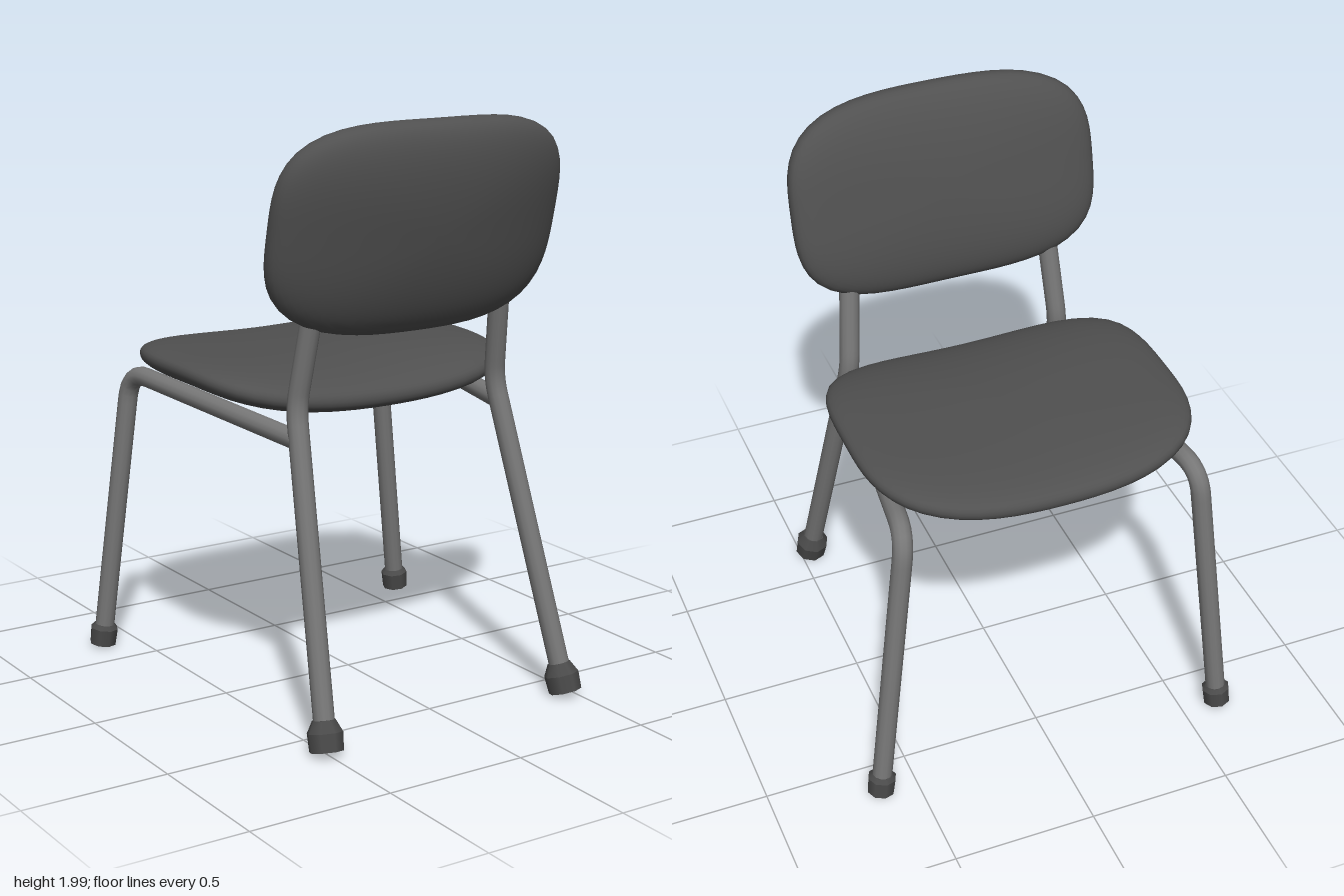
import * as THREE from 'three';
import { mergeVertices } from 'three/addons/utils/BufferGeometryUtils.js';

const padMat = new THREE.MeshStandardMaterial({ color: 0x505050 });
const frameMat = new THREE.MeshStandardMaterial({ color: 0x777777 });
const footMat = new THREE.MeshStandardMaterial({ color: 0x4a4a4a });
const V = (x, y, z) => new THREE.Vector3(x, y, z);

// Blunt-edged pad with a rounded-rectangle outline, one corner power for each end (-z, +z);
// sag(u, v) bends it along its thickness (y)
function pad(name, halfW, halfT, halfL, powers, sag) {
  const geo = new THREE.SphereGeometry(1, 64, 32);
  const p = geo.attributes.position;
  for (let i = 0; i < p.count; i++) {
    const x = p.getX(i), y = p.getY(i), z = p.getZ(i);
    const a = Math.atan2(z, x), n = z > 0 ? powers[1] : powers[0];
    const c = Math.cos(a), s = Math.sin(a);
    const k = Math.hypot(x, z) ** 0.9 / (Math.abs(c) ** n + Math.abs(s) ** n) ** (1 / n);
    const u = c * k, v = s * k;
    const h = Math.sign(y) * Math.abs(y) ** 0.82;
    p.setXYZ(i, u * halfW, h * halfT + sag(u, v), v * halfL);
  }
  geo.deleteAttribute('uv');
  geo.deleteAttribute('normal');
  const welded = mergeVertices(geo, 1e-5);
  welded.computeVertexNormals();
  const mesh = new THREE.Mesh(welded, padMat);
  mesh.name = name;
  return mesh;
}

// Round pipe through three points with a smooth bend of the given length at the middle one
function bentPipe(name, a, b, c, bend, radius) {
  const p = b.clone().add(a.clone().sub(b).setLength(bend));
  const q = b.clone().add(c.clone().sub(b).setLength(bend));
  const path = new THREE.CurvePath();
  path.add(new THREE.LineCurve3(a, p));
  path.add(new THREE.QuadraticBezierCurve3(p, b, q));
  path.add(new THREE.LineCurve3(q, c));
  const mesh = new THREE.Mesh(new THREE.TubeGeometry(path, 64, radius, 12), frameMat);
  mesh.name = name;
  return mesh;
}

// Rubber foot: straight cap with a tapered collar, lined up with the leg
function foot(name, base, toward, r, capH, collarH, legR) {
  const group = new THREE.Group();
  group.name = name;
  const cap = new THREE.Mesh(new THREE.CylinderGeometry(r, r * 0.95, capH, 8), footMat);
  cap.position.y = capH / 2;
  const collar = new THREE.Mesh(new THREE.CylinderGeometry(legR, r, collarH, 8), footMat);
  collar.position.y = capH + collarH / 2;
  group.add(cap, collar);
  group.position.copy(base);
  group.quaternion.setFromUnitVectors(V(0, 1, 0), toward.clone().sub(base).normalize());
  return group;
}

export function createModel() {
  const chair = new THREE.Group();
  chair.name = 'chair';

  // Seat: sides curl up, rear edge dips
  const seat = pad('seat', 0.583, 0.085, 0.477, [3, 3.8],
    (u, v) => 0.055 * u * u + (v > 0 ? -0.025 : 0.01) * v * v);
  seat.position.set(-0.04, 1.075, -0.145);
  chair.add(seat);

  // Backrest: stands up, leans back, ends wrap toward the sitter
  const back = pad('backrest', 0.55, 0.11, 0.357, [3.3, 3.3], (u) => 0.01 - 0.055 * u * u);
  back.rotation.x = Math.PI / 2 + 0.235;
  back.position.set(-0.04, 1.647, 0.5);
  chair.add(back);

  // Frame, one set of pipes for each side
  const sides = [
    { name: 'left', rearFoot: V(0.462, 0.016, 0.65), rearBend: V(0.363, 1.07, 0.35), post: V(0.33, 1.38, 0.415),
      frontFoot: V(0.63, 0.01, -0.625), frontBend: V(0.495, 1.06, -0.56), railEnd: V(0.372, 0.997, 0.365) },
    { name: 'right', rearFoot: V(-0.507, 0.016, 0.65), rearBend: V(-0.427, 1.07, 0.35), post: V(-0.408, 1.38, 0.415),
      frontFoot: V(-0.634, 0.01, -0.662), frontBend: V(-0.54, 1.03, -0.575), railEnd: V(-0.433, 0.965, 0.375) },
  ];
  for (const s of sides) {
    chair.add(bentPipe(s.name + 'RearLegAndPost', s.rearFoot, s.rearBend, s.post, 0.06, 0.035));
    chair.add(bentPipe(s.name + 'FrontLegAndRail', s.frontFoot, s.frontBend, s.railEnd, 0.1, 0.034));
    chair.add(foot(s.name + 'RearFoot', s.rearFoot, s.rearBend, 0.06, 0.06, 0.04, 0.039));
    chair.add(foot(s.name + 'FrontFoot', s.frontFoot, s.frontBend, 0.05, 0.06, 0.015, 0.037));
  }
  return chair;
}
